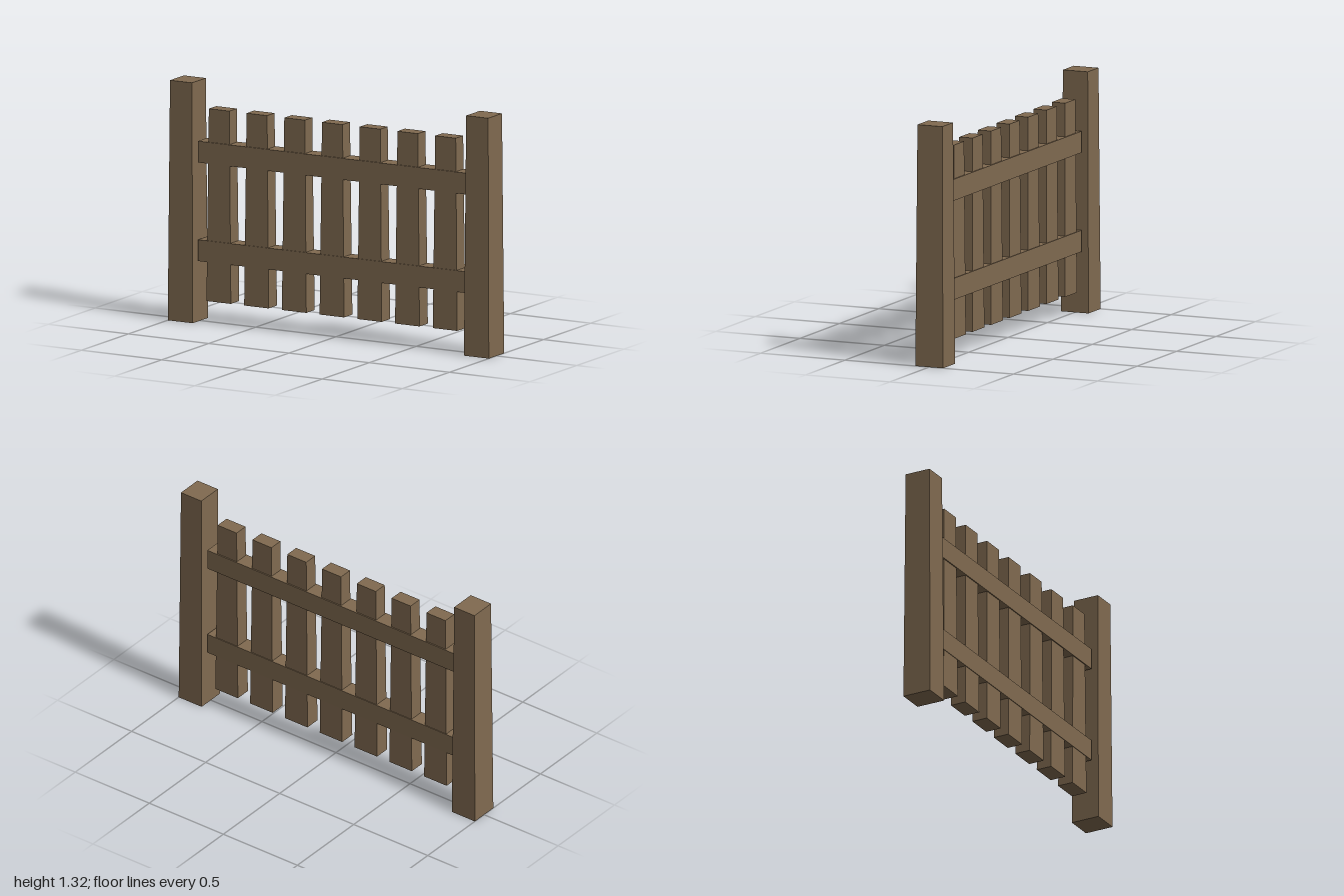
import * as THREE from 'three';

// Upright square timber, narrowing from its bottom size to its top size
function taperedBoard(bottomW, bottomD, topW, topD, y0, y1) {
  const geo = new THREE.BoxGeometry(1, y1 - y0, 1);
  geo.translate(0, (y0 + y1) / 2, 0);
  const p = geo.attributes.position;
  for (let i = 0; i < p.count; i++) {
    const top = p.getY(i) > (y0 + y1) / 2;
    p.setX(i, p.getX(i) * (top ? topW : bottomW));
    p.setZ(i, p.getZ(i) * (top ? topD : bottomD));
  }
  geo.computeVertexNormals();
  return geo;
}

export function createModel() {
  const fence = new THREE.Group();
  fence.name = 'fence';
  const wood = new THREE.MeshStandardMaterial({ color: 0x806a50 });
  wood.name = 'brown wood';

  const add = (name, geo, x = 0, y = 0) => {
    const mesh = new THREE.Mesh(geo, wood);
    mesh.name = name;
    mesh.position.set(x, y, 0);
    fence.add(mesh);
  };

  // End posts
  const postGeo = taperedBoard(0.155, 0.164, 0.137, 0.147, 0, 1.317);
  add('leftPost', postGeo, 0.9225);
  add('rightPost', postGeo, -0.9225);

  // Seven pickets
  const picketGeo = taperedBoard(0.152, 0.089, 0.128, 0.079, 0.122, 1.178);
  for (let i = 0; i < 7; i++) add(`picket${i + 1}`, picketGeo, (i - 3) * 0.235);

  // Horizontal rails, slightly thicker than the pickets
  const railGeo = new THREE.BoxGeometry(1.666, 0.117, 0.094);
  add('lowerRail', railGeo, 0, 0.395);
  add('upperRail', railGeo, 0, 0.936);

  return fence;
}
